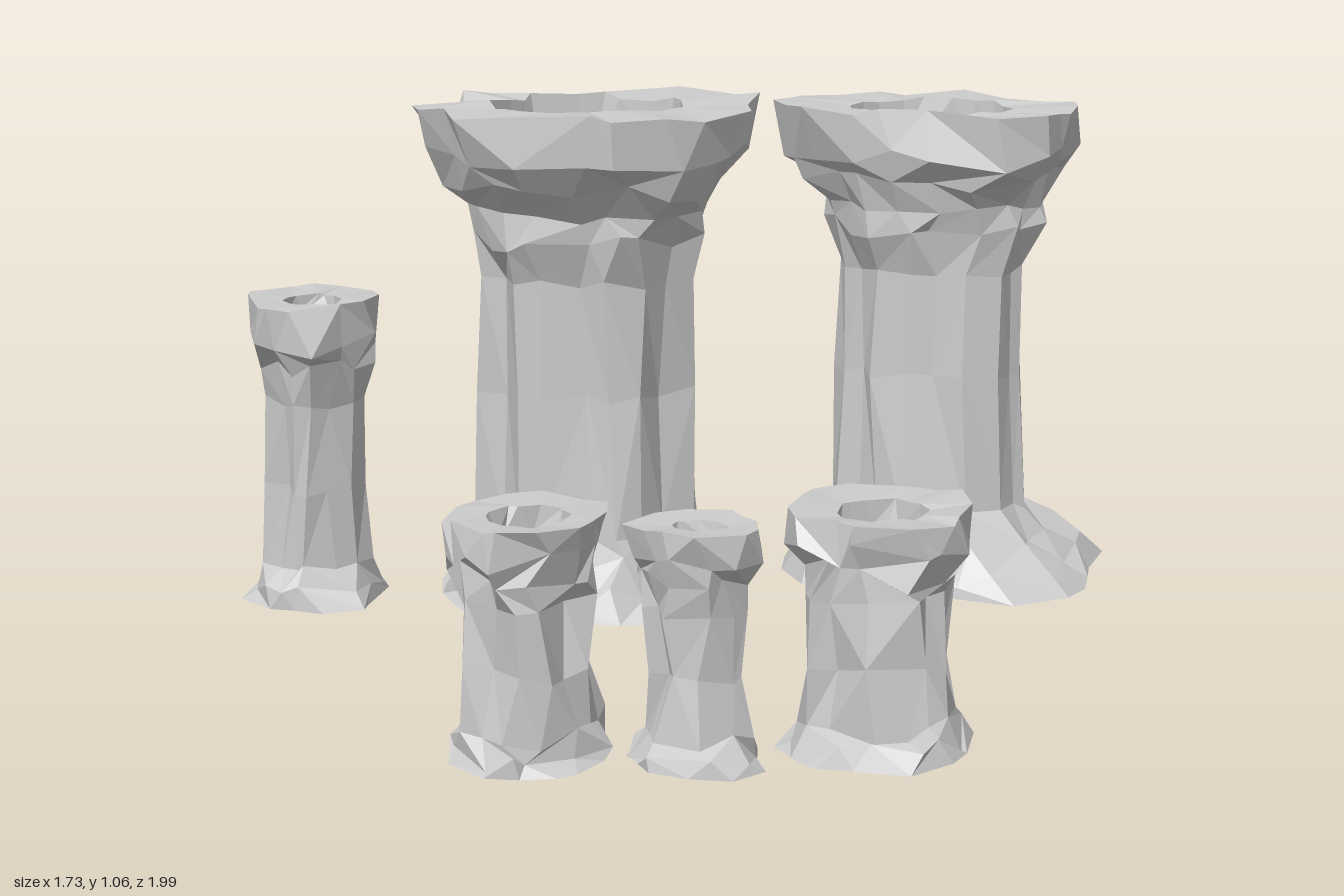
import * as THREE from 'three';

// Small seeded random generator
function seeded(seed) {
  let s = seed * 7919 + 13;
  return () => {
    s = (s * 1664525 + 1013904223) % 4294967296;
    return s / 4294967296;
  };
}

const material = new THREE.MeshStandardMaterial({ color: 0xcccccc, flatShading: true });

// Rings, from the foot up over the rim and down into the hollow:
// [y, centre x, centre z, radius x, radius z, roughness, groove depth, squareness power]
function rockColumn(name, sides, seed, rings) {
  const rand = seeded(seed);
  const pos = [], index = [];
  const groove = [], turn = [];
  for (let j = 0; j < sides; j++) {
    groove.push(j % 3 === 1 ? 0.75 + 0.25 * rand() : rand() * 0.25);
    turn.push((rand() - 0.5) * 0.5);
  }
  rings.forEach(([y, cx, cz, rx, rz, rough, depth, p], i) => {
    const spread = Math.min(rx, rz);
    for (let j = 0; j < sides; j++) {
      const wander = (rand() - 0.5) * Math.min(0.9, rough * 7);
      const a = ((j + turn[j] + wander) / sides) * Math.PI * 2;
      const c = Math.cos(a), s = Math.sin(a);
      const square = Math.pow(Math.abs(c) ** p + Math.abs(s) ** p, -1 / p);
      const r = square * (1 + rough * (rand() - 0.6) * 1.6) * (1 - depth * groove[j]);
      // Only the sides rise and fall freely; the rim and hollow stay nearly level
      const lift = i === 0 ? 0 : (rand() - 0.5) * spread * (i < rings.length - 3 ? rough * 2 : 0.08);
      pos.push(cx + rx * r * c, Math.max(0, y + lift), cz + rz * r * s);
    }
  });
  // Side faces, with the diagonal flipped at random
  for (let i = 0; i < rings.length - 1; i++) {
    for (let j = 0; j < sides; j++) {
      const k = (j + 1) % sides;
      const a = i * sides + j, b = i * sides + k, c = a + sides, d = b + sides;
      if (rand() < 0.5) index.push(a, c, b, b, c, d);
      else index.push(a, c, d, a, d, b);
    }
  }
  // Underside and hollow floor
  const first = rings[0], last = rings[rings.length - 1];
  const low = pos.length / 3, high = low + 1, top = (rings.length - 1) * sides;
  pos.push(first[1], 0, first[2], last[1], last[0], last[2]);
  for (let j = 0; j < sides; j++) {
    const k = (j + 1) % sides;
    index.push(low, j, k, high, top + k, top + j);
  }
  const indexed = new THREE.BufferGeometry();
  indexed.setAttribute('position', new THREE.Float32BufferAttribute(pos, 3));
  indexed.setIndex(index);
  const geometry = indexed.toNonIndexed();
  geometry.computeVertexNormals();
  const mesh = new THREE.Mesh(geometry, material);
  mesh.name = name;
  return mesh;
}

// Small columns share one profile: [height fraction, flare beyond the shaft, roughness, groove]
const smallProfile = [
  [0, 1, 0.16, 0],
  [0.05, 0.75, 0.16, 0.05],
  [0.13, 0.2, 0.12, 0.12],
  [0.38, 0, 0.13, 0.24],
  [0.66, 0, 0.13, 0.24],
  [0.79, 0.25, 0.17, 0.16],
  [0.87, 0.85, 0.14, 0.1],
  [1, 1, 0.14, 0.1],
];

function smallColumn(name, sides, seed, [x, z], [rx, rz], height, shaft, hollow, depth) {
  const rings = smallProfile.map(([t, flare, rough, g]) => {
    const r = shaft + (1 - shaft) * flare;
    return [t * height, x, z, rx * r, rz * r, rough, g, 2.3];
  });
  rings.push([height - 0.005, x, z, rx * hollow, rz * hollow, 0.12, 0, 2]);
  rings.push([height - depth, x, z, rx * hollow * 0.9, rz * hollow * 0.9, 0.08, 0, 2]);
  return rockColumn(name, sides, seed, rings);
}

export function createModel() {
  const group = new THREE.Group();
  group.name = 'rockColumns';

  // Largest column, round
  const cx = -0.215, cz = -0.22;
  const large = [
    [0, 0.322, 0.1, 0], [0.05, 0.3, 0.11, 0.05], [0.11, 0.265, 0.1, 0.1],
    [0.17, 0.24, 0.07, 0.17], [0.45, 0.232, 0.06, 0.18], [0.69, 0.234, 0.07, 0.17],
    [0.78, 0.258, 0.11, 0.12], [0.83, 0.26, 0.06, 0.06], [0.89, 0.312, 0.08, 0.08],
    [0.95, 0.355, 0.08, 0.09], [1.045, 0.37, 0.08, 0.1],
    [1.045, 0.203, 0.06, 0], [0.94, 0.195, 0.04, 0],
  ].map(([y, r, rough, g]) => [y, cx, cz, r, r, rough, g, 2.15]);
  group.add(rockColumn('largeColumn', 20, 3, large));

  // Rear column, squarish with a wide foot and a square cap
  const rear = [
    [0, 0.43, -0.7, 0.345, 0.295, 0.09, 0, 4], [0.04, 0.43, -0.7, 0.315, 0.275, 0.1, 0.04, 4],
    [0.1, 0.42, -0.7, 0.255, 0.23, 0.09, 0.08, 3], [0.15, 0.405, -0.7, 0.22, 0.19, 0.06, 0.12, 2.5],
    [0.45, 0.4, -0.7, 0.21, 0.176, 0.05, 0.13, 2.4], [0.68, 0.4, -0.7, 0.21, 0.176, 0.06, 0.12, 2.4],
    [0.77, 0.405, -0.7, 0.24, 0.205, 0.1, 0.1, 2.4], [0.82, 0.4, -0.7, 0.238, 0.2, 0.05, 0.05, 2.4],
    [0.88, 0.395, -0.71, 0.275, 0.24, 0.07, 0.08, 2.8], [0.93, 0.39, -0.715, 0.31, 0.265, 0.08, 0.08, 3.5],
    [1.025, 0.385, -0.715, 0.325, 0.272, 0.08, 0.08, 3.5],
    [1.02, 0.385, -0.695, 0.18, 0.17, 0.06, 0, 2], [0.93, 0.385, -0.695, 0.17, 0.16, 0.04, 0, 2],
  ];
  group.add(rockColumn('rearColumn', 20, 8, rear));

  // Slim column on one side and three short ones in front
  group.add(smallColumn('slimColumn', 12, 5, [-0.722, 0.07], [0.146, 0.16], 0.645, 0.72, 0.45, 0.03));
  group.add(smallColumn('shortColumnRight', 14, 11, [0.133, 0.833], [0.145, 0.17], 0.435, 0.82, 0.5, 0.05));
  group.add(smallColumn('shortColumnMiddle', 11, 17, [0.425, 0.765], [0.126, 0.105], 0.43, 0.78, 0.4, 0.03));
  group.add(smallColumn('shortColumnLeft', 14, 23, [0.69, 0.55], [0.168, 0.18], 0.435, 0.82, 0.5, 0.06));

  return group;
}
